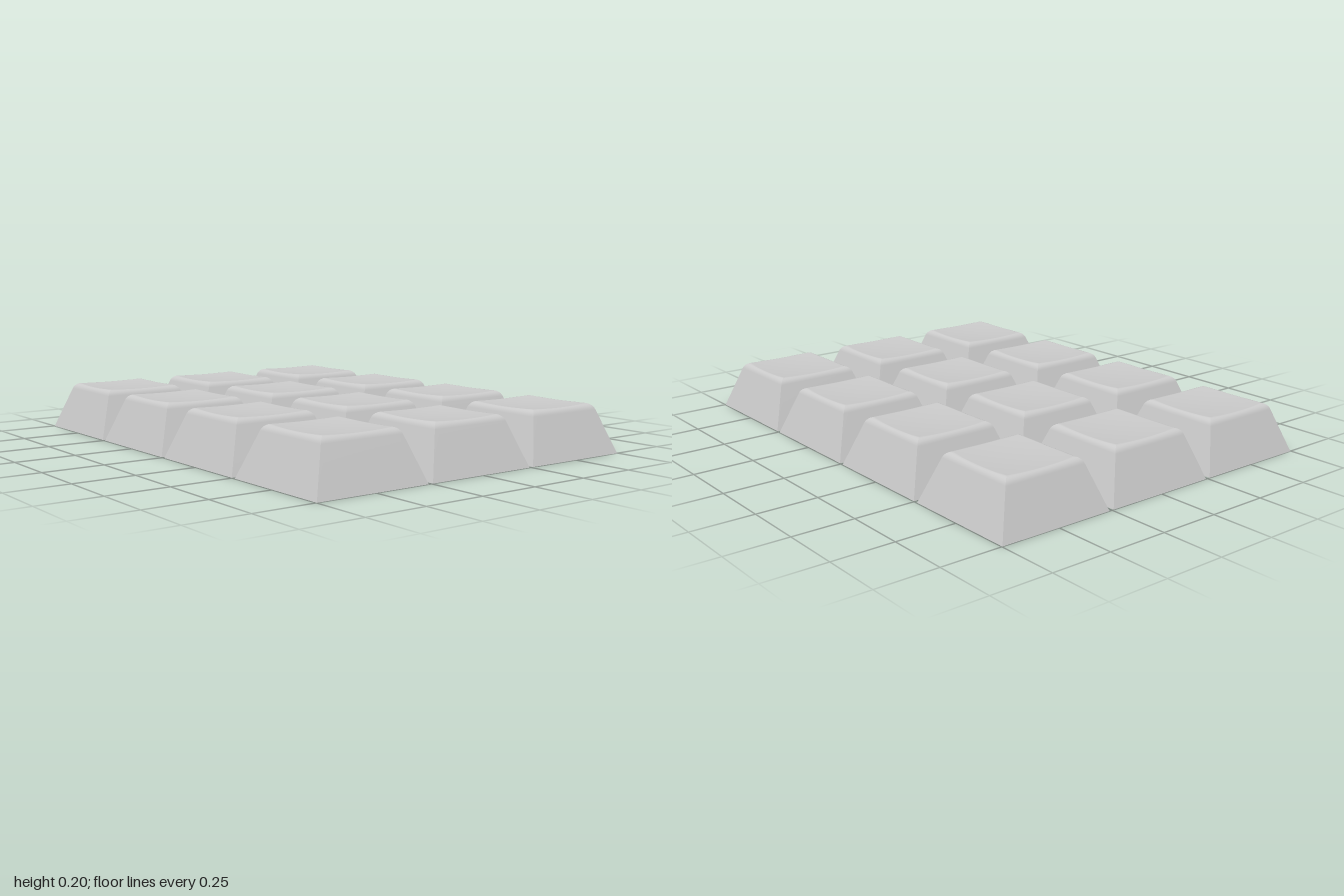
import * as THREE from 'three';
import { mergeGeometries } from 'three/addons/utils/BufferGeometryUtils.js';

const PITCH = 0.505;
// Shallow spherical scoop in the top of each cap
const dish = (x, z) => 0.1905 + (x * x + z * z) / 5;

// One mitred side following a [half width, height] profile, repeated on all four sides
function fourSides(profile, cols) {
  const pos = [], index = [];
  profile.forEach(([h, y]) => {
    for (let i = 0; i <= cols; i++) {
      const x = h * (2 * i / cols - 1);
      pos.push(x, Math.min(y, dish(x, h)), h);
    }
  });
  const row = cols + 1;
  for (let j = 0; j < profile.length - 1; j++) {
    for (let i = 0; i < cols; i++) {
      const a = j * row + i, d = a + row;
      index.push(a, a + 1, d + 1, a, d + 1, d);
    }
  }
  const side = new THREE.BufferGeometry();
  side.setAttribute('position', new THREE.Float32BufferAttribute(pos, 3));
  side.setIndex(index);
  side.computeVertexNormals();
  return mergeGeometries([0, 1, 2, 3].map(k => side.clone().rotateY(k * Math.PI / 2)));
}

function dishGeometry() {
  const g = new THREE.PlaneGeometry(0.3, 0.3, 16, 16).rotateX(-Math.PI / 2);
  const p = g.attributes.position;
  for (let i = 0; i < p.count; i++) p.setY(i, dish(p.getX(i), p.getZ(i)));
  g.computeVertexNormals();
  return g;
}

export function createModel() {
  const model = new THREE.Group();
  model.name = 'keycapSet';
  const grey = new THREE.MeshStandardMaterial({ color: 0xcccccc });
  grey.name = 'light grey plastic';

  const parts = {
    // Sloping walls rolling over into the top edge
    outerShell: fourSides([[0.2425, 0], [0.178, 0.175], [0.175, 0.182], [0.171, 0.188],
      [0.166, 0.193], [0.16, 0.197], [0.155, 0.199], [0.15, 0.2]], 16),
    dishedTop: dishGeometry(),
    // Hollow underside
    bottomRim: fourSides([[0.2025, 0], [0.2425, 0]], 1),
    innerWalls: fourSides([[0.14, 0.165], [0.2025, 0]], 1),
    ceiling: new THREE.PlaneGeometry(0.28, 0.28).rotateX(Math.PI / 2).translate(0, 0.165, 0),
    // Mounting post under the top
    stem: new THREE.CylinderGeometry(0.077, 0.077, 0.1, 32).translate(0, 0.12, 0),
  };

  for (let r = -1; r <= 1; r++) {
    for (let c = -1.5; c <= 1.5; c++) {
      const cap = new THREE.Group();
      cap.name = 'keycap';
      for (const [name, geometry] of Object.entries(parts)) {
        const mesh = new THREE.Mesh(geometry, grey);
        mesh.name = name;
        cap.add(mesh);
      }
      cap.position.set(c * PITCH, 0, r * PITCH);
      model.add(cap);
    }
  }
  return model;
}
